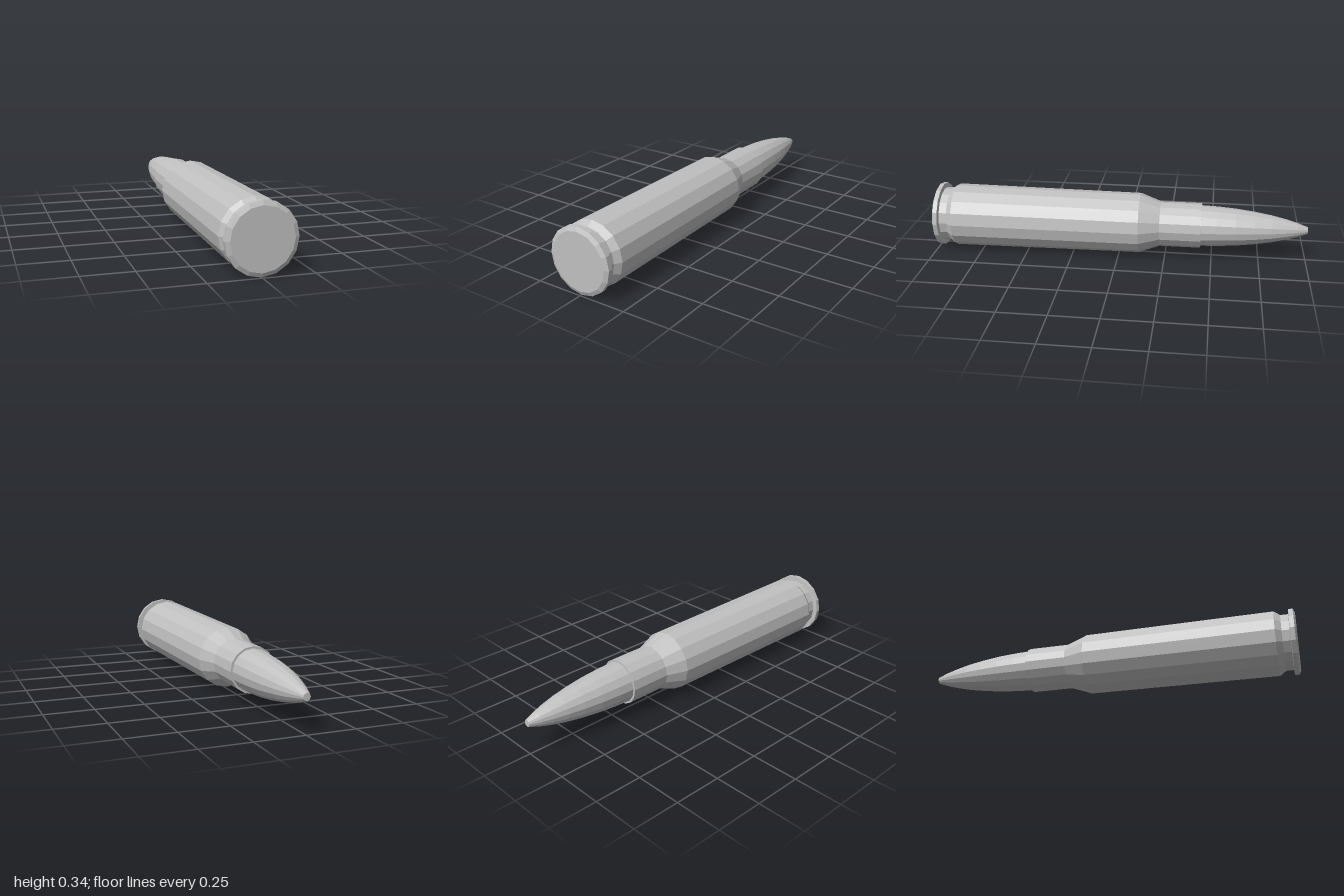
import * as THREE from 'three';

const SIDES = 16;
const RADIUS = 0.171;

// Faceted solid of revolution along z; profile is [radius, z] from front (+z) to back
function turned(name, profile, material) {
  const points = profile.map(([r, z]) => new THREE.Vector2(r, -z));
  const geometry = new THREE.LatheGeometry(points, SIDES).rotateX(-Math.PI / 2).toNonIndexed();
  geometry.computeVertexNormals();
  const mesh = new THREE.Mesh(geometry, material);
  mesh.name = name;
  mesh.position.y = RADIUS;
  return mesh;
}

export function createModel() {
  const group = new THREE.Group();
  group.name = 'cartridge';
  const metal = new THREE.MeshStandardMaterial({ color: 0xc0c0c0 });
  metal.name = 'grey metal';

  // Base rim with bevelled edge, and extractor groove
  group.add(turned('rim', [
    [0, 1], [0.15, 1], [0.171, 0.99], [0.171, 0.967], [0.145, 0.965],
  ], metal));
  group.add(turned('extractorGroove', [
    [0.145, 0.965], [0.145, 0.925], [0.168, 0.893],
  ], metal));

  // Slightly tapered case, shoulder, neck and open lip
  group.add(turned('caseBody', [[0.168, 0.893], [0.16, -0.112]], metal));
  group.add(turned('shoulder', [[0.16, -0.112], [0.12, -0.222]], metal));
  group.add(turned('neck', [[0.12, -0.222], [0.12, -0.44], [0.108, -0.44]], metal));

  // Rounded projectile with a small blunt tip
  group.add(turned('projectile', [
    [0.109, -0.43], [0.106, -0.52], [0.099, -0.62], [0.087, -0.72],
    [0.072, -0.81], [0.055, -0.885], [0.038, -0.945], [0.018, -1], [0, -1],
  ], metal));

  return group;
}
